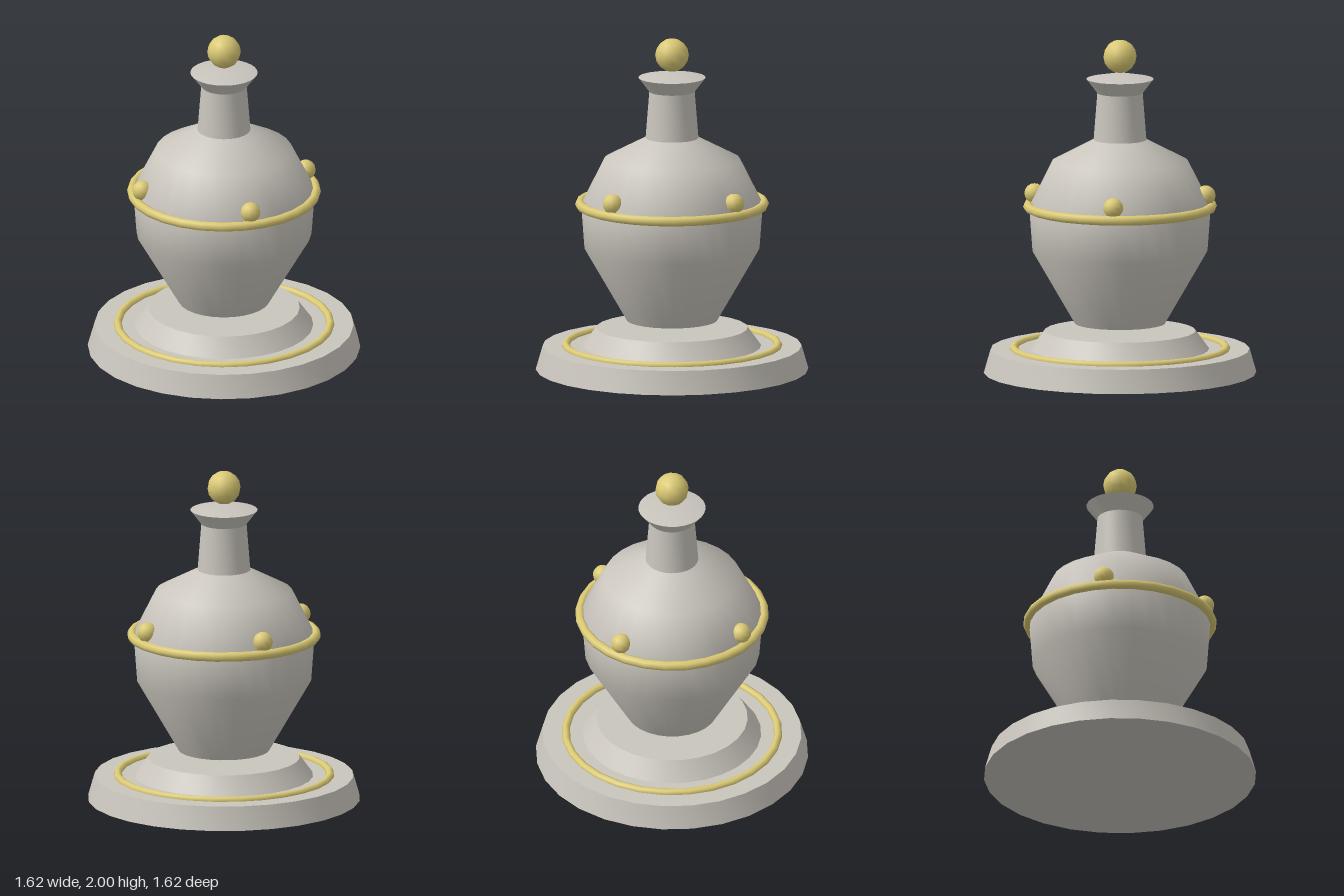
import * as THREE from 'three';
import { toCreasedNormals } from 'three/addons/utils/BufferGeometryUtils.js';

const SIDES = 28;

export function createModel() {
  const model = new THREE.Group();
  model.name = 'urnTrophy';

  const stone = new THREE.MeshStandardMaterial({ color: 0xc9c5bd });
  stone.name = 'pale stone';
  const gold = new THREE.MeshStandardMaterial({ color: 0xdac974 });
  gold.name = 'soft gold';

  function add(name, geometry, material, x = 0, y = 0, z = 0) {
    const mesh = new THREE.Mesh(geometry, material);
    mesh.name = name;
    mesh.position.set(x, y, z);
    model.add(mesh);
    return mesh;
  }

  // Turned form with sharp rims and softly shaded shoulders
  function turned(profile) {
    const points = profile.map(([r, y]) => new THREE.Vector2(r, y));
    return toCreasedNormals(new THREE.LatheGeometry(points, SIDES), 0.67);
  }

  function ring(name, radius, tube, y) {
    const geometry = new THREE.TorusGeometry(radius, tube, 8, SIDES);
    geometry.rotateX(Math.PI / 2);
    add(name, geometry, gold, 0, y);
  }

  // Stepped plinth
  add('plinth', turned([[0, 0], [0.81, 0], [0.77, 0.14], [0, 0.14]]), stone);
  add('plinthStep', turned([[0.53, 0.14], [0.45, 0.25], [0, 0.25]]), stone);
  ring('plinthRing', 0.632, 0.024, 0.142);

  // Vessel with shoulder, neck and flared lip
  add('vessel', turned([
    [0, 0.255], [0.27, 0.297], [0.52, 0.73], [0.54, 1.0], [0.405, 1.27],
    [0.157, 1.4], [0.135, 1.68], [0.2, 1.765], [0, 1.805],
  ]), stone);
  ring('bellyRing', 0.547, 0.029, 1.0);

  // Four studs set diagonally above the belly ring
  for (let i = 0; i < 4; i++) {
    const a = Math.PI / 4 + (i * Math.PI) / 2;
    const stud = add('stud', new THREE.SphereGeometry(0.06, 12, 8), gold,
      0.51 * Math.sin(a), 1.07, 0.51 * Math.cos(a));
    stud.rotation.y = a;
  }

  // Ball finial
  add('finial', new THREE.SphereGeometry(0.1, 12, 8), gold, 0, 1.9, 0);

  return model;
}
